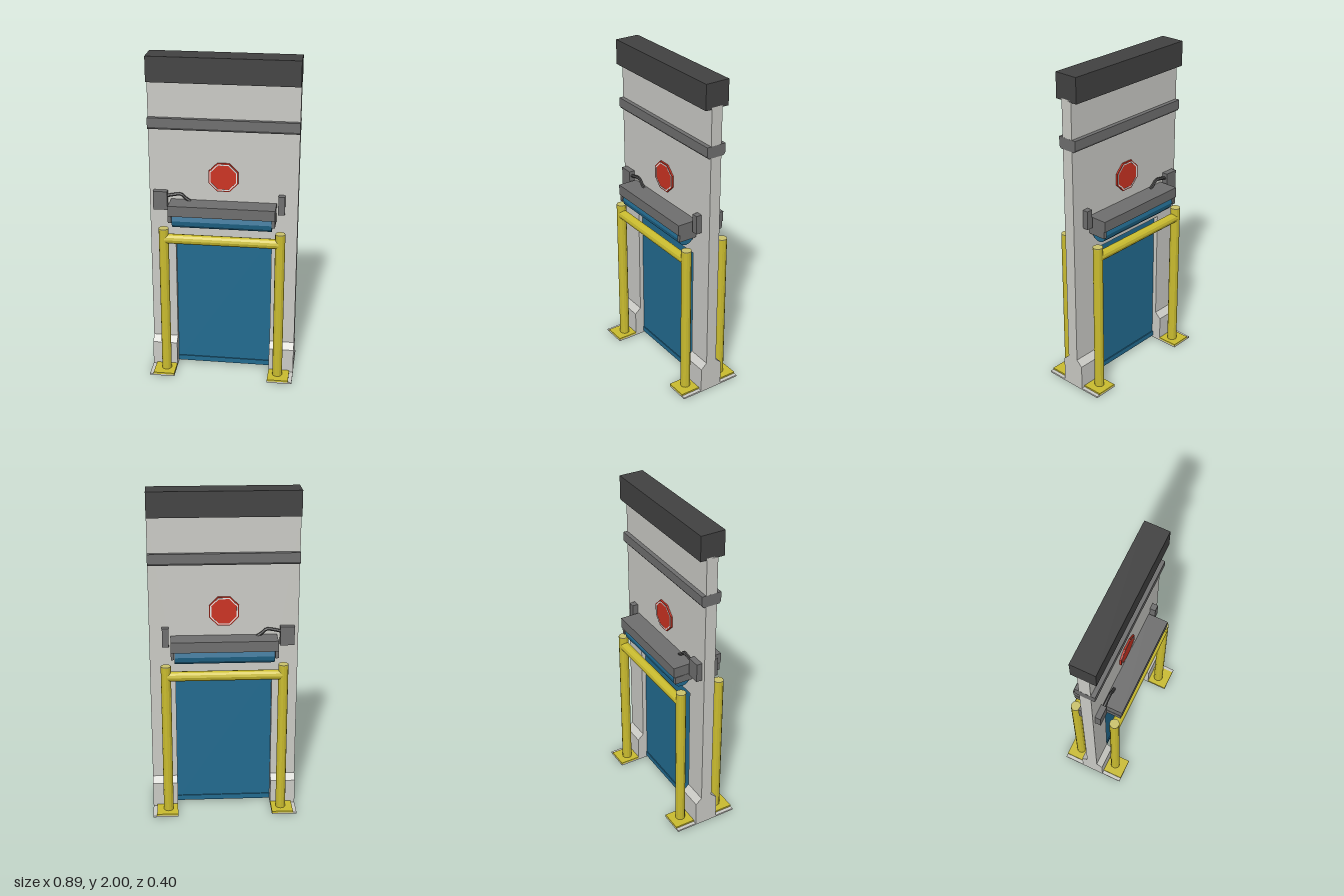
import * as THREE from 'three';

const mat = (name, color, extra = {}) => {
  const m = new THREE.MeshStandardMaterial({ color, flatShading: true, ...extra });
  m.name = name;
  return m;
};

export function createModel() {
  const M = {
    concrete: mat('concrete', 0xcbcbc6),
    charcoal: mat('charcoal', 0x424242),
    steel: mat('steel grey', 0x6f6f6f),
    cable: mat('cable grey', 0x484848),
    blue: mat('shutter blue', 0x226b90),
    yellow: mat('safety yellow', 0xcabc2f),
    pale: mat('pale yellow', 0xcbc36c),
    red: mat('sign red', 0xcc3322),
    white: mat('sign white', 0xececec),
  };
  const root = new THREE.Group();
  root.name = 'doorway';

  const add = (name, geo, material, x = 0, y = 0, z = 0) => {
    const mesh = new THREE.Mesh(geo, material);
    mesh.name = name;
    mesh.position.set(x, y, z);
    root.add(mesh);
    return mesh;
  };
  // Box given by its limits on each axis
  const box = (name, material, x0, x1, y0, y1, z0, z1) =>
    add(name, new THREE.BoxGeometry(Math.abs(x1 - x0), y1 - y0, Math.abs(z1 - z0)), material,
      (x0 + x1) / 2, (y0 + y1) / 2, (z0 + z1) / 2);
  const polygon = (pts) => new THREE.Shape(pts.map(([x, y]) => new THREE.Vector2(x, y)));
  // Profile in (z, y), symmetric in z, swept along x and centred on it
  const sweepX = (pts, length) => new THREE.ExtrudeGeometry(polygon(pts), { depth: length, bevelEnabled: false })
    .translate(0, 0, -length / 2).rotateY(Math.PI / 2);
  const octagon = (r) => Array.from({ length: 8 }, (_, i) => {
    const a = Math.PI / 8 + i * Math.PI / 4;
    return [r * Math.cos(a), r * Math.sin(a)];
  });

  // Wall slab with the door opening
  const W = 0.443, T = 0.035, O = 0.29, openTop = 0.9;
  const wall = polygon([[-W, 0.008], [-O, 0.008], [-O, openTop], [O, openTop], [O, 0.008], [W, 0.008], [W, 1.86], [-W, 1.86]]);
  add('wall', new THREE.ExtrudeGeometry(wall, { depth: 2 * T, bevelEnabled: false }), M.concrete, 0, 0, -T);

  // Top beam and the belt with chamfered lower edges
  box('topBeam', M.charcoal, -W, W, 1.85, 2, -0.075, 0.075);
  add('wallBelt', sweepX([[-0.05, 1.565], [0.05, 1.565], [0.061, 1.58], [0.061, 1.635], [-0.061, 1.635], [-0.061, 1.58]], 2 * W + 0.001), M.steel);

  // Shutter curtain and its bottom bar
  box('shutter', M.blue, -O, O, 0.015, openTop, -0.008, 0.008);
  box('shutterBottomBar', M.blue, -O, O, 0.012, 0.045, -0.014, 0.014);

  // Flared plinths and floor slabs on both sides of the opening
  const plinth = [[-0.073, 0.008], [0.073, 0.008], [0.073, 0.165], [T, 0.2], [-T, 0.2], [-0.073, 0.165]];
  for (const s of [-1, 1]) {
    const side = s < 0 ? 'right' : 'left';
    add(side + 'Plinth', sweepX(plinth, W - O), M.concrete, s * (W + O) / 2);
    box(side + 'FloorSlab', M.concrete, s * O, s * W, 0, 0.01, -0.2, 0.2);
  }

  // Fittings repeated on both faces of the wall
  for (const f of [1, -1]) {
    const face = f > 0 ? 'front' : 'back';
    const postZ = f > 0 ? 0.125 : -0.13;

    // Guard: two posts on foot plates joined by a rail
    for (const s of [-1, 1]) {
      box(face + 'FootPlate', M.yellow, s * O, s * 0.42, 0.009, 0.02, f * 0.073, f * 0.2);
      add(face + 'Post', new THREE.CylinderGeometry(0.03, 0.03, 0.95, 12), M.yellow, s * 0.348, 0.495, postZ);
      add(face + 'PostCap', new THREE.CylinderGeometry(0.03, 0.03, 0.005, 12), M.pale, s * 0.348, 0.9725, postZ);
    }
    const rail = new THREE.CylinderGeometry(0.03, 0.03, 0.68, 12).rotateZ(Math.PI / 2);
    add(face + 'Rail', rail, M.yellow, 0, 0.909, postZ);

    // Roller housing, end brackets and rolled curtain
    box(face + 'RollerHousing', M.steel, -0.315, 0.317, 1.065, 1.13, f * T, f * 0.158);
    for (const s of [-1, 1]) {
      box(face + 'RollerBracket', M.steel, s * 0.297, s * 0.317, 1.02, 1.065, f * T, f * 0.15);
    }
    const roll = new THREE.CylinderGeometry(0.055, 0.055, 0.592, 12).rotateZ(Math.PI / 2);
    add(face + 'RolledCurtain', roll, M.blue, 0, 1.03, f * 0.09);

    // Control box, sensor box and cable
    box(face + 'ControlBox', M.steel, -0.418, -0.333, 1.07, 1.185, f * T, f * 0.07);
    box(face + 'SensorBox', M.steel, 0.328, 0.367, 1.07, 1.185, f * T, f * 0.07);
    const path = new THREE.CatmullRomCurve3([[-0.335, 1.155], [-0.29, 1.165], [-0.25, 1.168], [-0.225, 1.145], [-0.195, 1.125]]
      .map(([x, y]) => new THREE.Vector3(x, y, f * 0.052)));
    add(face + 'Cable', new THREE.TubeGeometry(path, 10, 0.01, 6), M.cable);

    // Octagonal sign with a thin inset ring
    const plate = new THREE.ExtrudeGeometry(polygon(octagon(0.095)), { depth: 0.01, bevelEnabled: false });
    add(face + 'Sign', plate, M.red, 0, 1.281, f * 0.04 - 0.005);
    const ringShape = polygon(octagon(0.088));
    ringShape.holes.push(polygon(octagon(0.081)));
    const ring = new THREE.ExtrudeGeometry(ringShape, { depth: 0.004, bevelEnabled: false });
    add(face + 'SignRing', ring, M.white, 0, 1.281, f * 0.0445 - 0.002);
  }
  return root;
}
